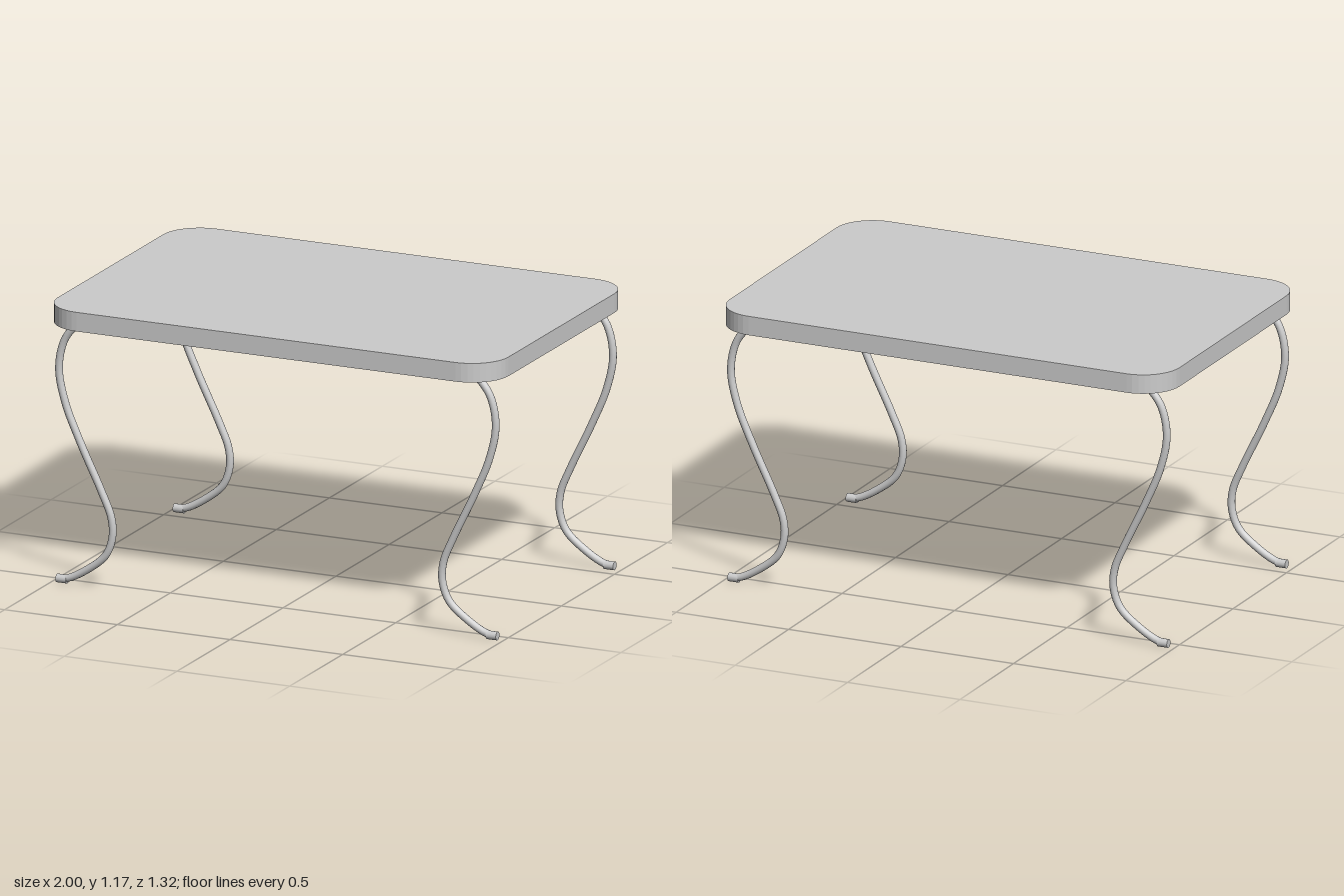
import * as THREE from 'three';

const TOP_Y = 1.175, THICK = 0.08, HALF_X = 1, HALF_Z = 0.66, CORNER = 0.16;

// Rounded rectangle slab, extruded upwards
function makeTop(material) {
  const s = new THREE.Shape();
  const x = HALF_X - CORNER, z = HALF_Z - CORNER;
  s.absarc(x, z, CORNER, 0, Math.PI / 2);
  s.absarc(-x, z, CORNER, Math.PI / 2, Math.PI);
  s.absarc(-x, -z, CORNER, Math.PI, Math.PI * 1.5);
  s.absarc(x, -z, CORNER, Math.PI * 1.5, Math.PI * 2);
  const geo = new THREE.ExtrudeGeometry(s, { depth: THICK, bevelEnabled: false, curveSegments: 5 });
  geo.rotateX(-Math.PI / 2).translate(0, TOP_Y - THICK, 0);
  const mesh = new THREE.Mesh(geo, material);
  mesh.name = 'tableTop';
  return mesh;
}

// S-curved rod leg with a capped foot, curling outwards on the given side
function makeLeg(side, z, material) {
  const profile = [
    [0.86, 1.115], [0.89, 1.09], [0.944, 1.02], [0.969, 0.9], [0.942, 0.76],
    [0.875, 0.6], [0.778, 0.4], [0.737, 0.3], [0.732, 0.22], [0.762, 0.14],
    [0.84, 0.073], [0.93, 0.024], [0.975, 0.02],
  ];
  const path = new THREE.CatmullRomCurve3(
    profile.map(([x, y]) => new THREE.Vector3(side * x, y, 0)), false, 'centripetal');
  const radius = 0.0155;
  const leg = new THREE.Group();
  const rod = new THREE.Mesh(new THREE.TubeGeometry(path, 64, radius, 12), material);
  rod.name = 'legRod';
  // Short straight foot closing the end of the rod
  const footGeo = new THREE.CylinderGeometry(0.018, 0.018, 0.045, 12);
  footGeo.rotateZ(Math.PI / 2).translate(side * 0.9545, 0.019, 0);
  const foot = new THREE.Mesh(footGeo, material);
  foot.name = 'foot';
  leg.add(rod, foot);
  leg.position.z = z;
  return leg;
}

export function createModel() {
  const material = new THREE.MeshStandardMaterial({ color: 0xcccccc });
  const table = new THREE.Group();
  table.name = 'table';
  table.add(makeTop(material));
  for (const side of [1, -1]) {
    for (const end of [1, -1]) {
      const leg = makeLeg(side, end * 0.553, material);
      leg.name = (end > 0 ? 'front' : 'back') + (side > 0 ? 'Left' : 'Right') + 'Leg';
      table.add(leg);
    }
  }
  return table;
}
